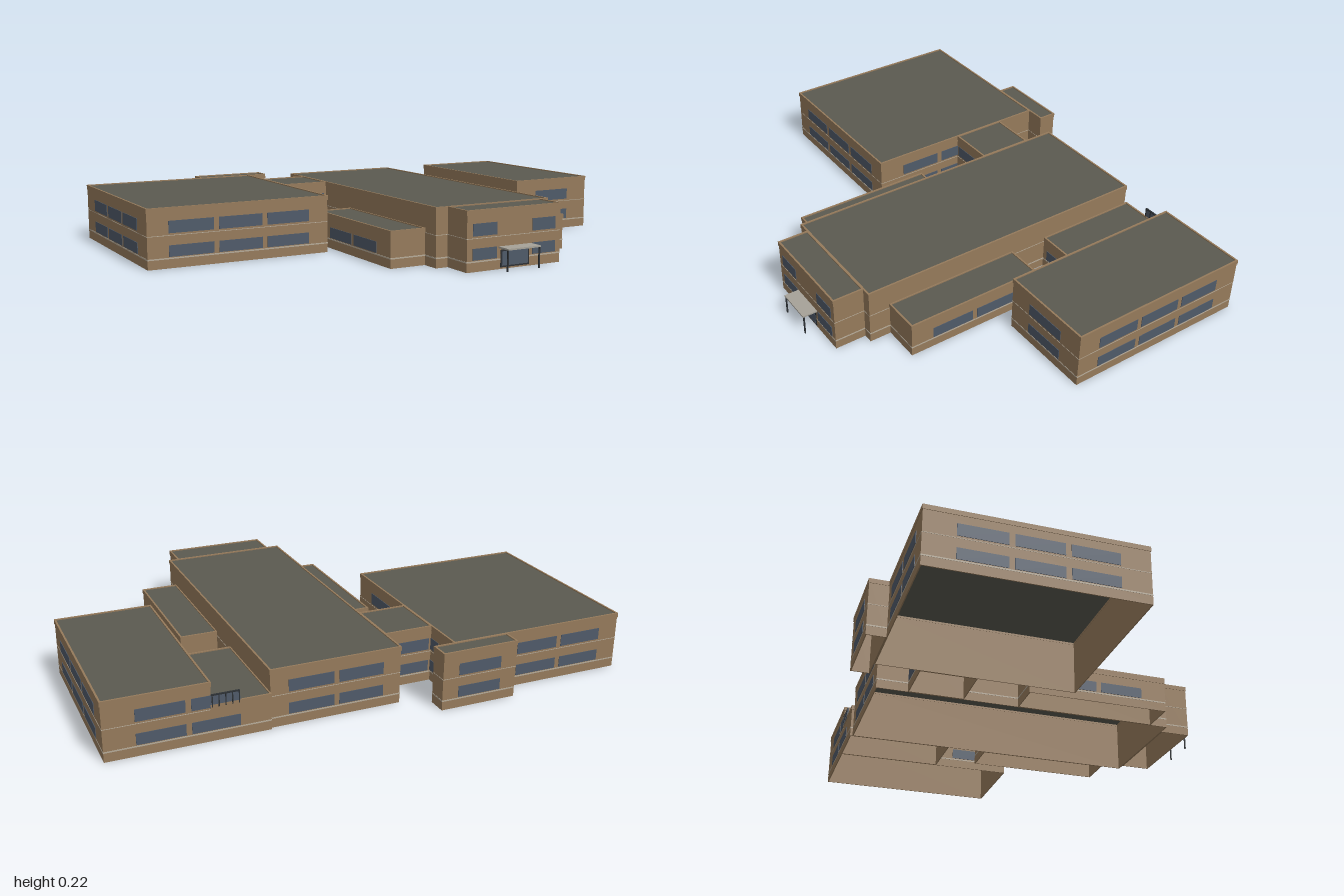
import * as THREE from 'three';

const mat = (name, color, opts = {}) => {
  const m = new THREE.MeshStandardMaterial({ color, ...opts });
  m.name = name;
  return m;
};

export function createModel() {
  const model = new THREE.Group();
  model.name = 'schoolBuilding';
  const brick = mat('tan brick', 0x957a5b);
  const roofing = mat('grey roofing', 0x5b5a50);
  const glass = mat('blue glass', 0x4f5a69);
  const stone = mat('pale stone', 0xb5aa98);
  const metal = mat('dark metal', 0x2c3034);
  const canopyGrey = mat('canopy grey', 0xa6a298);

  function box(parent, name, material, x0, x1, y0, y1, z0, z1) {
    const m = new THREE.Mesh(new THREE.BoxGeometry(x1 - x0, y1 - y0, z1 - z0), material);
    m.position.set((x0 + x1) / 2, (y0 + y1) / 2, (z0 + z1) / 2);
    m.name = name;
    parent.add(m);
    return m;
  }

  // Horizontal rectangular ring: grows outward by out and inward by inn
  function ring(parent, name, material, [x0, x1, z0, z1], out, inn, y0, y1) {
    const rect = (S, d) => new S([
      new THREE.Vector2(x0 - d, -z1 - d), new THREE.Vector2(x1 + d, -z1 - d),
      new THREE.Vector2(x1 + d, -z0 + d), new THREE.Vector2(x0 - d, -z0 + d),
    ]);
    const shape = rect(THREE.Shape, out);
    shape.holes.push(rect(THREE.Path, -inn));
    const g = new THREE.ExtrudeGeometry(shape, { depth: y1 - y0, bevelEnabled: false });
    g.rotateX(-Math.PI / 2);
    const m = new THREE.Mesh(g, material);
    m.position.y = y0;
    m.name = name;
    parent.add(m);
  }

  // Open-bottomed wing: walls, roof, coping and string courses
  function wing(name, x0, x1, z0, z1, h) {
    const g = new THREE.Group();
    g.name = name;
    model.add(g);
    const r = [x0, x1, z0, z1];
    ring(g, 'walls', brick, r, 0, 0.004, 0, h - 0.001);
    ring(g, 'coping', brick, r, 0.002, 0.005, h - 0.018, h);
    ring(g, 'lowerCourse', stone, r, 0.001, 0, 0.034, 0.039);
    if (h > 0.2) ring(g, 'upperCourse', stone, r, 0.001, 0, 0.119, 0.121);
    box(g, 'roof', roofing, x0 + 0.003, x1 - 0.003, h - 0.01, h - 0.004, z0 + 0.003, z1 - 0.003);
  }

  const HIGH = 0.222, LOW = 0.138;
  wing('westHall', -0.998, -0.282, -0.68, 0.098, HIGH);
  wing('rearAnnex', -0.5, -0.2, -0.753, -0.68, HIGH);
  wing('westLink', -0.282, -0.09, -0.512, -0.29, HIGH);
  wing('westLowWing', -0.235, -0.09, -0.07, 0.5, LOW);
  wing('mainHall', -0.09, 0.41, -0.635, 0.573, HIGH);
  wing('entranceBlock', -0.04, 0.373, 0.573, 0.695, HIGH);
  wing('eastLowWing', 0.41, 0.556, -0.062, 0.488, LOW);
  wing('eastLink', 0.41, 0.626, -0.645, -0.22, LOW);
  wing('eastBlock', 0.626, 0.998, -0.645, 0.098, HIGH);

  // Rows of windows centred at c along a wall; axis is the wall's facing direction
  const ROWS = [[0.042, 0.084], [0.128, 0.173]];
  function windows(axis, at, c, count, floors = 2, width = 0.172, pitch = 0.192) {
    for (let f = 0; f < floors; f++) {
      const [y0, y1] = ROWS[f];
      for (let i = 0; i < count; i++) {
        const m = c + (i - (count - 1) / 2) * pitch;
        const a = m - width / 2, b = m + width / 2;
        if (axis === 'z') box(model, 'window', glass, a, b, y0, y1, at - 0.002, at + 0.002);
        else box(model, 'window', glass, at - 0.002, at + 0.002, y0, y1, a, b);
      }
    }
  }
  windows('z', 0.098, -0.64, 3);
  windows('z', -0.68, -0.735, 2);
  windows('x', -0.998, -0.29, 3);
  windows('x', -0.282, -0.29, 3);
  windows('z', -0.753, -0.35, 1);
  windows('z', -0.29, -0.186, 1);
  windows('z', -0.512, -0.186, 1);
  windows('x', -0.235, 0.215, 2, 1);
  windows('x', 0.556, 0.215, 2, 1);
  windows('z', -0.635, 0.16, 2);
  windows('z', 0.695, 0.1675, 2, 2, 0.104, 0.262);
  windows('z', -0.22, 0.518, 1, 1);
  windows('z', -0.645, 0.705, 2);
  windows('z', 0.098, 0.811, 1);
  windows('x', 0.998, -0.27, 3);
  windows('x', 0.626, -0.06, 1);

  // Mullions on the glazing standing above the east link
  for (let i = 0; i < 5; i++) {
    const x = 0.524 + i * 0.024;
    box(model, 'mullion', metal, x, x + 0.004, 0.128, 0.173, -0.648, -0.641);
  }
  box(model, 'glazingRail', metal, 0.523, 0.626, 0.171, 0.175, -0.648, -0.641);

  // Entrance doors and canopy
  box(model, 'doorFrame', metal, 0.105, 0.232, 0.006, 0.07, 0.694, 0.697);
  box(model, 'doorGlass', glass, 0.111, 0.226, 0.012, 0.064, 0.694, 0.699);
  box(model, 'canopy', canopyGrey, 0.096, 0.24, 0.077, 0.083, 0.695, 0.753);
  for (const x of [0.096, 0.235]) {
    box(model, 'canopyPost', metal, x, x + 0.005, 0, 0.077, 0.746, 0.751);
  }
  return model;
}
